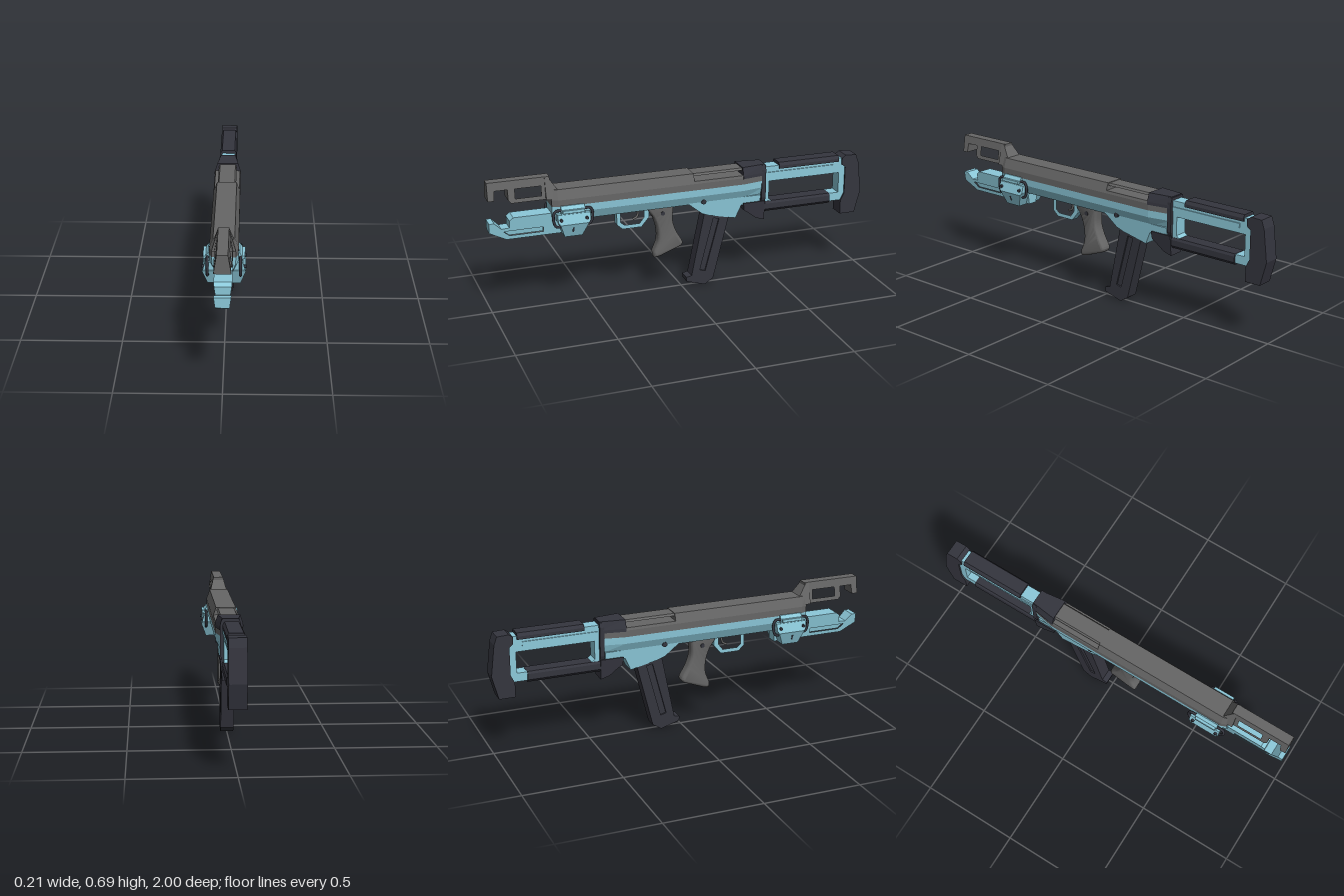
import * as THREE from 'three';
import { toCreasedNormals } from 'three/addons/utils/BufferGeometryUtils.js';

const paint = (color) => new THREE.MeshStandardMaterial({ color, flatShading: true });
const lerp = THREE.MathUtils.lerp;

export function createModel() {
  const model = new THREE.Group();
  const blue = paint(0x8cc9da), gray = paint(0x666666), dark = paint(0x34353e);
  const smoothGray = new THREE.MeshStandardMaterial({ color: 0x666666 });
  const smoothDark = new THREE.MeshStandardMaterial({ color: 0x34353e });

  const add = (name, geometry, material) => {
    const mesh = new THREE.Mesh(geometry, material);
    mesh.name = name;
    model.add(mesh);
    return mesh;
  };
  const outline = (pts) => new THREE.Shape(pts.map((p) => new THREE.Vector2(...p)));

  // Side profile of [z, y] points; half is the half width, or a rule of y
  const prof = (name, pts, half, material, hole) => {
    const shape = outline(pts);
    if (hole) shape.holes.push(outline(hole));
    const geo = new THREE.ExtrudeGeometry(shape, { depth: 1, bevelEnabled: false });
    geo.translate(0, 0, -0.5).rotateY(-Math.PI / 2);
    const pos = geo.attributes.position;
    for (let i = 0; i < pos.count; i++) {
      const w = typeof half === 'function' ? half(pos.getY(i)) : half;
      pos.setX(i, pos.getX(i) * 2 * w);
    }
    geo.computeVertexNormals();
    return add(name, geo, material);
  };
  // Half width running evenly from w0 at height y0 to w1 at y1
  const taper = (y0, w0, y1, w1) => (y) => lerp(w0, w1, (y - y0) / (y1 - y0));

  // Profile with a sunken panel on both sides
  const recessed = (name, pts, hole, half, material) => {
    prof(name, pts, half, material, hole);
    prof(name + 'Panel', hole, (y) => (typeof half === 'function' ? half(y) : half) - 0.008, material);
  };

  // Mirrored cross-section (right half as [x, y], bottom to top) run from z0 back to z1
  const bar = (name, pts, z0, z1, material, s0 = 1, s1 = 1) => {
    const all = [...pts, ...pts.map(([x, y]) => [-x, y]).reverse()];
    const geo = new THREE.ExtrudeGeometry(outline(all), { depth: z0 - z1, bevelEnabled: false });
    geo.translate(0, 0, z1);
    const pos = geo.attributes.position, mid = (z0 + z1) / 2;
    for (let i = 0; i < pos.count; i++) pos.setX(i, pos.getX(i) * (pos.getZ(i) > mid ? s0 : s1));
    geo.computeVertexNormals();
    return add(name, geo, material);
  };
  const pin = (name, z, y, r, half, material = smoothDark) => {
    const geo = new THREE.CylinderGeometry(r, r, half * 2, 16).rotateZ(Math.PI / 2);
    return add(name, toCreasedNormals(geo, 0.6), material).position.set(0, y, z);
  };
  const box = (name, w, h, d, y, z, material) =>
    add(name, new THREE.BoxGeometry(w, h, d), material).position.set(0, y, z);

  // Main receiver: blue lower hull and gray upper cover, tapered at both ends
  const lower = [[0.042, 0.457], [0.066, 0.505], [0.068, 0.541]];
  const upper = [[0.068, 0.541], [0.068, 0.575], [0.05, 0.625]];
  const upperCut = [[0.068, 0.541], [0.068, 0.575], [0.064, 0.588]];
  bar('lowerHullNose', lower, 0.69, 0.66, blue, 0.82, 1);
  bar('lowerHull', lower, 0.66, -0.32, blue);
  bar('lowerHullTail', lower, -0.32, -0.44, blue, 1, 0.68);
  bar('upperCoverNose', upper, 0.69, 0.66, gray, 0.82, 1);
  bar('upperCover', upper, 0.66, -0.05, gray);
  bar('upperCoverCut', upperCut, -0.05, -0.32, gray);
  bar('upperCoverTail', upperCut, -0.32, -0.44, gray, 1, 0.68);
  bar('topRail', [[0.047, 0.611], [0.04, 0.622]], -0.05, -0.33, gray);

  // Upper front jaw with its ramp, notch and window
  prof('upperJawRamp', [[0.652, 0.58], [0.652, 0.62], [0.7, 0.69], [0.715, 0.69], [0.715, 0.58]],
    taper(0.575, 0.058, 0.69, 0.026), gray);
  prof('upperJaw', [[0.69, 0.58], [0.69, 0.69], [1, 0.69], [1, 0.6], [0.97, 0.6], [0.965, 0.648],
    [0.9, 0.648], [0.9, 0.595], [0.885, 0.58]], taper(0.58, 0.043, 0.69, 0.025), gray,
    [[0.735, 0.6], [0.735, 0.648], [0.865, 0.648], [0.865, 0.6]]);

  // Lower front jaw with a hooked tip
  recessed('lowerJaw', [[0.52, 0.39], [0.52, 0.505], [0.88, 0.505], [0.9, 0.49], [0.9, 0.452], [0.94, 0.45],
    [0.975, 0.485], [1, 0.485], [1, 0.435], [0.915, 0.39]],
    [[0.73, 0.41], [0.73, 0.435], [0.93, 0.435], [0.9, 0.41]], taper(0.39, 0.026, 0.505, 0.042), blue);

  // Clamp block around the front of the hull
  prof('clampLower', [[0.545, 0.385], [0.515, 0.455], [0.66, 0.455], [0.635, 0.385]],
    taper(0.385, 0.077, 0.455, 0.102), blue);
  prof('clampUpper', [[0.515, 0.455], [0.505, 0.47], [0.505, 0.505], [0.67, 0.505], [0.67, 0.47], [0.66, 0.455]],
    taper(0.455, 0.102, 0.505, 0.088), blue);
  box('clampWing', 0.196, 0.015, 0.11, 0.52, 0.59, blue);
  bar('clampCap', [[0.085, 0.5], [0.085, 0.528], [0.073, 0.545]], 0.65, 0.53, blue);
  for (const z of [0.655, 0.525]) pin('clampBolt', z, 0.48, 0.008, 0.104);
  prof('clampSlot', [[0.59, 0.41], [0.59, 0.435], [0.598, 0.435], [0.598, 0.41]],
    taper(0.385, 0.0785, 0.455, 0.1035), dark);

  // Dark half loops at both ends of the clamp
  for (const side of [-1, 1]) for (const end of [-1, 1]) {
    const path = [[0.055, 0.524], [0.085, 0.524], [0.097, 0.508], [0.097, 0.465], [0.085, 0.443], [0.06, 0.441]]
      .map(([dz, y]) => new THREE.Vector3(side * 0.077, y, 0.59 + end * dz));
    add('clampLoop', new THREE.TubeGeometry(new THREE.CatmullRomCurve3(path), 24, 0.007, 8), smoothDark);
  }

  // Trigger guard and trigger
  prof('triggerGuard', [[0.35, 0.47], [0.35, 0.39], [0.32, 0.363], [0.22, 0.363], [0.18, 0.41], [0.18, 0.47]], 0.02, blue,
    [[0.33, 0.448], [0.33, 0.4], [0.31, 0.383], [0.23, 0.383], [0.205, 0.415], [0.205, 0.448]]);
  const pull = [[0.235, 0.46], [0.232, 0.43], [0.24, 0.412], [0.26, 0.403]]
    .map(([z, y]) => new THREE.Vector3(0, y, z));
  add('trigger', new THREE.TubeGeometry(new THREE.CatmullRomCurve3(pull), 12, 0.006, 8), smoothGray);

  // Rounded pistol grip
  const grip = new THREE.Shape();
  grip.moveTo(0.19, 0.475);
  grip.splineThru([[0.185, 0.445], [0.155, 0.4], [0.135, 0.34], [0.133, 0.275], [0.155, 0.215]]
    .map((p) => new THREE.Vector2(...p)));
  grip.lineTo(0.152, 0.185);
  grip.lineTo(0.12, 0.19);
  grip.lineTo(0.01, 0.232);
  grip.splineThru([[0, 0.255], [0.035, 0.32], [0.053, 0.385], [0.045, 0.475]]
    .map((p) => new THREE.Vector2(...p)));
  const gripGeo = new THREE.ExtrudeGeometry(grip, { depth: 0.03, curveSegments: 16, bevelSize: 0.016,
    bevelOffset: -0.016, bevelThickness: 0.018, bevelSegments: 4 });
  gripGeo.translate(0, 0, -0.015).rotateY(-Math.PI / 2);
  add('grip', toCreasedNormals(gripGeo, 0.7), smoothGray);
  pin('gripPin', 0.11, 0.425, 0.011, 0.036);

  // Magazine well and slanted magazine
  prof('magazineWell', [[-0.02, 0.465], [-0.1, 0.4], [-0.14, 0.385], [-0.285, 0.352], [-0.315, 0.42], [-0.42, 0.432],
    [-0.42, 0.465]], taper(0.352, 0.038, 0.465, 0.046), blue);
  pin('wellPin', -0.105, 0.467, 0.013, 0.054);
  recessed('magazine', [[-0.12, 0.42], [-0.255, 0.385], [-0.166, 0.03], [-0.12, 0], [-0.02, 0.03], [-0.018, 0.053],
    [-0.047, 0.06]], [[-0.165, 0.365], [-0.092, 0.085], [-0.122, 0.076], [-0.197, 0.357]], 0.033, dark);

  // Collar joining receiver and stock
  bar('collarTop', [[0.07, 0.57], [0.069, 0.585], [0.055, 0.628]], -0.315, -0.445, dark, 1, 0.7);
  bar('collarPlate', [[0.04, 0.42], [0.05, 0.45], [0.05, 0.6], [0.043, 0.624]], -0.425, -0.448, dark);
  prof('collarFoot', [[-0.325, 0.43], [-0.33, 0.39], [-0.36, 0.37], [-0.4, 0.338], [-0.445, 0.325], [-0.445, 0.43]],
    taper(0.325, 0.04, 0.43, 0.05), dark);

  // Open stock frame, padded above and below
  prof('stockFrame', [[-0.43, 0.61], [-0.91, 0.61], [-0.91, 0.376], [-0.43, 0.376]], 0.034, blue,
    [[-0.472, 0.53], [-0.872, 0.53], [-0.872, 0.42], [-0.49, 0.42], [-0.472, 0.435]]);
  box('stockRib', 0.078, 0.022, 0.39, 0.568, -0.645, blue);
  bar('upperPad', [[0.044, 0.594], [0.044, 0.61], [0.034, 0.626]], -0.525, -0.865, dark);
  bar('lowerPad', [[0.03, 0.366], [0.042, 0.38], [0.042, 0.41], [0.035, 0.422]], -0.44, -0.82, dark);

  // Butt pad
  prof('buttPad', [[-0.885, 0.61], [-0.905, 0.625], [-0.965, 0.622], [-0.98, 0.58], [-1, 0.42], [-0.968, 0.3],
    [-0.885, 0.3], [-0.885, 0.375], [-0.905, 0.415], [-0.905, 0.56], [-0.885, 0.575]], 0.042, dark);

  return model;
}
